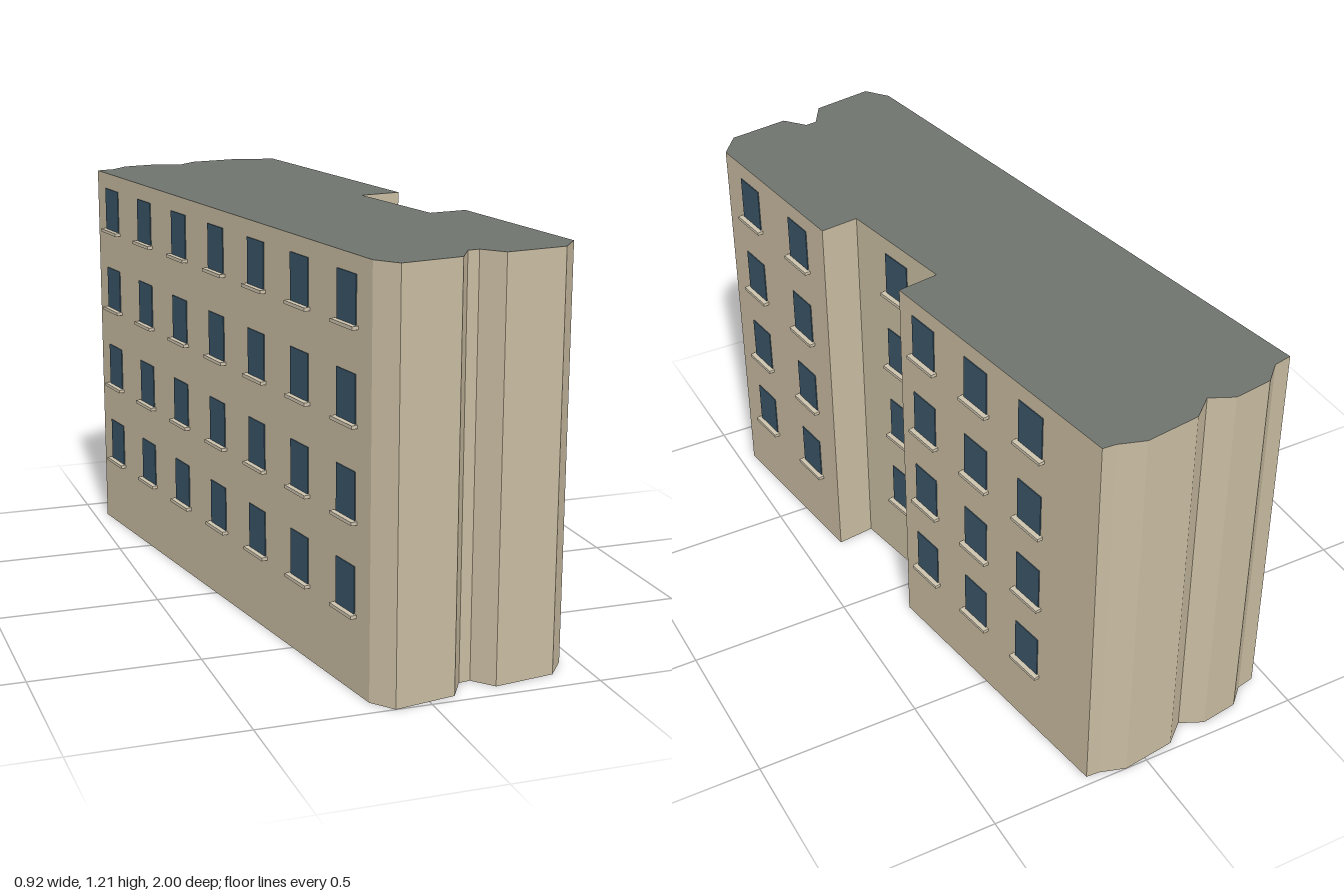
import * as THREE from 'three';

const HEIGHT = 1.205;
const wallMat = new THREE.MeshStandardMaterial({ color: 0xc8bba0 });
const roofMat = new THREE.MeshStandardMaterial({ color: 0x6e736e });
const glassMat = new THREE.MeshStandardMaterial({ color: 0x3a5568 });
const sillMat = new THREE.MeshStandardMaterial({ color: 0xcdc3ad });

// Floor plan corners as [x, z]
const plan = [
  [-0.456, -0.873], [-0.40, -0.885], [-0.347, -0.937], [-0.23, -0.955], [-0.16, -0.922],
  [-0.097, -0.977], [0.068, -1.0], [0.147, -0.975], [0.186, -0.973],
  [0.317, -0.098], [0.19, -0.078], [0.26, 0.30], [0.377, 0.285],
  [0.45, 0.845], [0.394, 0.918], [0.211, 0.945], [0.159, 0.885], [0.124, 0.89],
  [0.079, 0.967], [-0.104, 1.0], [-0.156, 0.935],
];

// Straight walls with windows: plan corners (back to front), side, window centres along z
const windowWalls = [
  { name: 'leftRearWall', from: 8, to: 9, side: 1, zs: [-0.69, -0.45, -0.21] },
  { name: 'leftRecessWall', from: 10, to: 11, side: 1, zs: [0.11] },
  { name: 'leftFrontWall', from: 12, to: 13, side: 1, zs: [0.43, 0.705] },
  { name: 'rightWall', from: 0, to: 20, side: -1, zs: [-0.755, -0.495, -0.235, 0.025, 0.285, 0.545, 0.805] },
];
const floorY = [0.293, 0.557, 0.822, 1.087];

const paneGeo = new THREE.BoxGeometry(0.102, 0.135, 0.006);
const sillGeo = new THREE.BoxGeometry(0.12, 0.01, 0.02);

// One window: dark pane on the wall face with a projecting sill beneath
function makeWindow() {
  const g = new THREE.Group();
  g.name = 'window';
  const pane = new THREE.Mesh(paneGeo, glassMat);
  pane.name = 'windowPane';
  const sill = new THREE.Mesh(sillGeo, sillMat);
  sill.name = 'windowSill';
  sill.position.set(0, -0.0725, 0.008);
  g.add(pane, sill);
  return g;
}

export function createModel() {
  const model = new THREE.Group();
  model.name = 'apartmentBlock';

  // Main volume: the plan extruded upward, with a flat grey roof
  const shape = new THREE.Shape(plan.map(([x, z]) => new THREE.Vector2(x, -z)));
  const geo = new THREE.ExtrudeGeometry(shape, { depth: HEIGHT, bevelEnabled: false });
  geo.rotateX(-Math.PI / 2);
  const body = new THREE.Mesh(geo, [roofMat, wallMat]);
  body.name = 'buildingBody';
  model.add(body);

  // Windows on every floor of each straight wall
  for (const { name, from, to, side, zs } of windowWalls) {
    const [x0, z0] = plan[from];
    const [x1, z1] = plan[to];
    const facing = Math.atan2(side * (z1 - z0), -side * (x1 - x0));
    const wall = new THREE.Group();
    wall.name = name + 'Windows';
    for (const z of zs) {
      const x = x0 + (x1 - x0) * (z - z0) / (z1 - z0);
      for (const y of floorY) {
        const w = makeWindow();
        w.position.set(x, y, z);
        w.rotation.y = facing;
        wall.add(w);
      }
    }
    model.add(wall);
  }
  return model;
}
